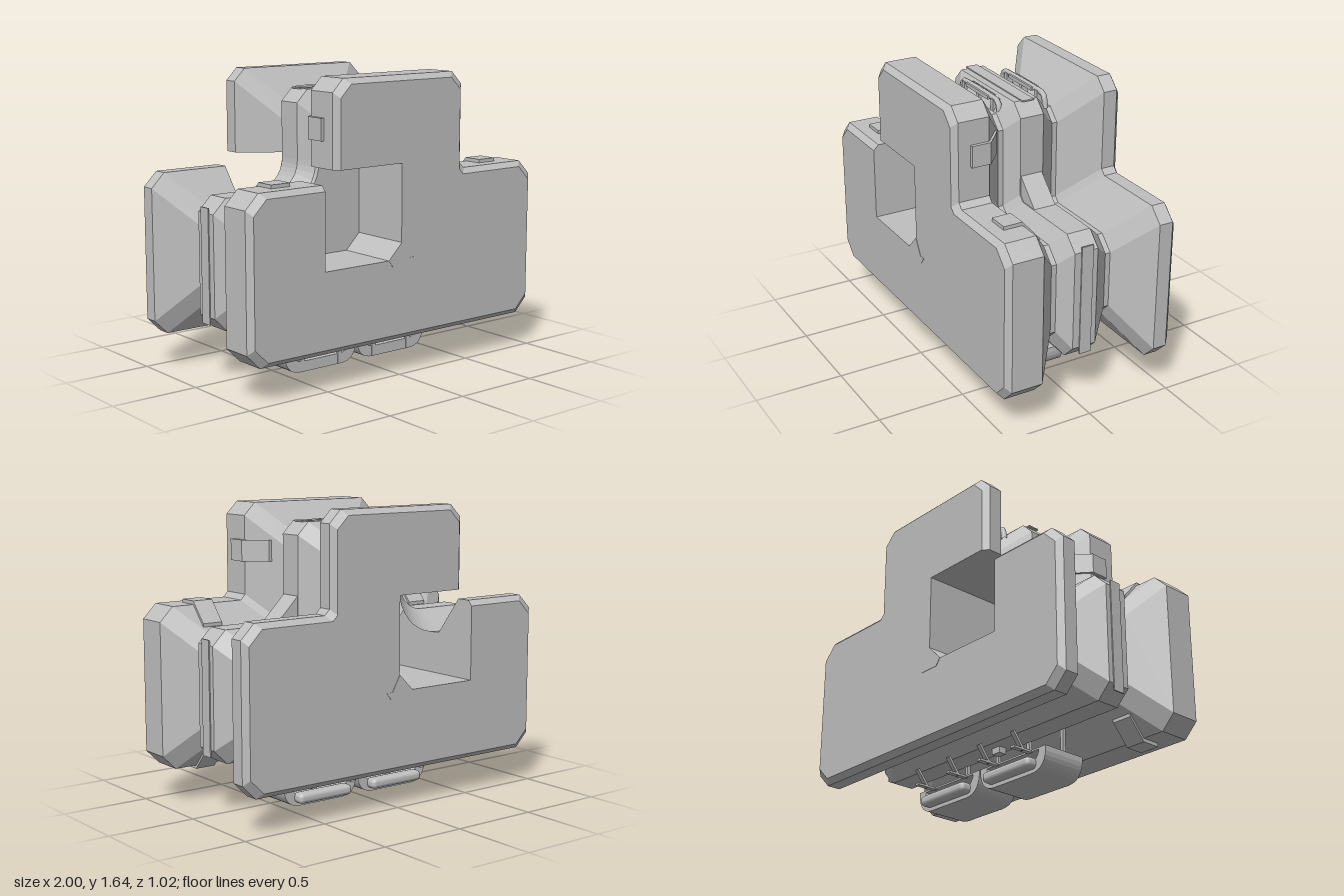
import * as THREE from 'three';
import { RoundedBoxGeometry } from 'three/addons/geometries/RoundedBoxGeometry.js';

const grey = new THREE.MeshStandardMaterial({ color: 0xbfbfbf });
grey.name = 'hull grey';

// Outline seen from the front: x, y and the direction each corner moves when inset
const outline = [
  [-0.92, 0.2, 1, 1], [0.92, 0.2, -1, 1], [1, 0.28, -1, 1], [1, 1.02, -1, -1], [0.92, 1.1, -1, -1],
  [0.48, 1.1, -1, -1], [0.45, 1.13, -1, -1], [0.45, 1.57, -1, -1], [0.38, 1.64, -1, -1],
  [-0.38, 1.64, 1, -1], [-0.45, 1.57, 1, -1], [-0.45, 1.17, 1, 0],
  [0, 1.17, 0, 0], [0, 0.74, 0, 0], [-0.09, 0.65, 0, 0], [-0.52, 0.65, 0, 0],
  [-0.52, 1.1, 0, -1], [-0.92, 1.1, 1, -1], [-1, 1.02, 1, -1], [-1, 0.28, 1, 1],
];
// Depth profile: z and inset
const profile = [
  [0.51, 0.03], [0.48, 0], [0.3, 0], [0.15, 0.17], [0.12, 0.17], [0.06, 0.09],
  [-0.08, 0.09], [-0.21, 0.21], [-0.24, 0.21], [-0.4, 0], [-0.48, 0], [-0.51, 0.03],
];
const inset = (d) => outline.map(([x, y, dx, dy]) => new THREE.Vector2(x + dx * d, y + dy * d));
const arc = (d, n = 10) => Array.from({ length: n + 1 }, (_, i) => {
  const a = (-i / n) * Math.PI / 2;
  return new THREE.Vector2(-0.52 + (d + 0.07) * Math.cos(a), 1.17 + (d + 0.07) * Math.sin(a));
});

// Skin between cross-sections, listed front to back, with hard edges
function loft(rows, section, closed) {
  const pos = [];
  for (let i = 0; i < rows.length - 1; i++) {
    const [z0, d0] = rows[i], [z1, d1] = rows[i + 1];
    const p = section(d0), q = section(d1), n = p.length;
    for (let j = 0; j < (closed ? n : n - 1); j++) {
      const k = (j + 1) % n;
      const a = [p[j].x, p[j].y, z0], b = [p[k].x, p[k].y, z0];
      const c = [q[j].x, q[j].y, z1], e = [q[k].x, q[k].y, z1];
      pos.push(...a, ...c, ...b, ...b, ...c, ...e);
    }
  }
  const g = new THREE.BufferGeometry();
  g.setAttribute('position', new THREE.Float32BufferAttribute(pos, 3));
  g.computeVertexNormals();
  return g;
}

const polygon = (pts) => new THREE.Shape(pts.map((p) => (p.isVector2 ? p : new THREE.Vector2(p[0], p[1]))));
const extrude = (shape, depth) => new THREE.ExtrudeGeometry(shape, { depth, bevelEnabled: false, curveSegments: 8 });

export function createModel() {
  const root = new THREE.Group();
  const add = (name, geo, x = 0, y = 0, z = 0, parent = root) => {
    const m = new THREE.Mesh(geo, grey);
    m.name = name;
    m.position.set(x, y, z);
    parent.add(m);
    return m;
  };
  const box = (name, w, h, d, x, y, z, parent) => add(name, new THREE.BoxGeometry(w, h, d), x, y, z, parent);

  // Hull: two outer slabs and a central ridge joined by valleys
  add('hullSides', loft(profile, inset, true));
  const cap = new THREE.ShapeGeometry(polygon(inset(0.03)));
  add('frontFace', cap, 0, 0, 0.51);
  const backCap = cap.clone();
  backCap.index.array.reverse();
  backCap.computeVertexNormals();
  add('backFace', backCap, 0, 0, -0.51);

  // Open bay: curved elbow of the ridge and the inner wall
  add('bayElbow', loft(profile.slice(3, 9), arc, false));
  add('bayWall', new THREE.ShapeGeometry(polygon([...arc(0.17).reverse(),
    [0, 1.17], [0, 0.74], [-0.09, 0.65], [-0.52, 0.65]])), 0, 0, 0.15);
  const flag = polygon([[-0.09, 0.65], [-0.06, 0.61], [0.06, 0.61], [0.09, 0.65], [0.05, 0.65], [0, 0.74]]);
  add('bayCornerPlateFront', extrude(flag, 0.004), 0, 0, 0.508);
  add('bayCornerPlateBack', extrude(flag, 0.004), 0, 0, -0.512);

  // Diagonal brace in the other elbow of the ridge
  add('elbowBrace', extrude(polygon([[0.34, 0.99], [0.5, 1.01], [0.36, 1.15]]), 0.13), 0, 0, -0.075);

  // Clips folded over the front slab's edge; local y points outward
  const clipShape = polygon([[-0.41, 0], [-0.41, 0.02], [-0.3, 0.02], [-0.2, -0.094], [-0.2, -0.113], [-0.3, 0]]);
  const clipGeo = extrude(clipShape, 0.12);
  clipGeo.translate(0, 0, -0.06);
  clipGeo.rotateY(Math.PI / 2);
  const clip = (x, y, turn) => { add('edgeClip', clipGeo, x, y, 0).rotation.z = turn; };
  for (const s of [-1, 1]) {
    clip(0.73 * s, 1.1, 0);
    clip(0.73 * s, 0.2, Math.PI);
    clip(0.45 * s, 1.375, -s * Math.PI / 2);
    // Long inlay on each end of the ridge
    box('ridgeEndInlay', 0.008, 0.63, 0.07, 0.912 * s, 0.645, -0.015);
  }
  box('ridgeTopInlay', 0.62, 0.008, 0.07, 0, 1.552, -0.015);
  box('ridgeFoot', 0.06, 0.04, 0.05, 0, 0.275, 0);

  // Rails and brackets beside the top of the ridge
  for (const [z, len] of [[0.1, 0.21], [-0.17, 0.23]]) {
    const path = new THREE.CatmullRomCurve3([
      new THREE.Vector3(-len, 1.45, z), new THREE.Vector3(-len + 0.03, 1.53, z),
      new THREE.Vector3(len - 0.03, 1.53, z), new THREE.Vector3(len, 1.45, z),
    ], false, 'catmullrom', 0.2);
    add('topRail', new THREE.TubeGeometry(path, 24, 0.016, 8));
    for (const x of [-0.16, 0, 0.16]) box('railBracket', 0.03, 0.11, 0.04, x, 1.48, z);
    box('railPlate', 0.24, 0.02, 0.05, 0, 1.53, z);
  }

  // Two landing trays with hollow rounded frames, liners and struts
  for (const s of [-1, 1]) {
    const tray = new THREE.Group();
    tray.name = 'landingTray';
    tray.position.x = 0.255 * s;
    root.add(tray);
    const frame = new THREE.Shape();
    frame.moveTo(-0.25, 0.13).lineTo(-0.25, 0.1).quadraticCurveTo(-0.24, 0, -0.14, 0);
    frame.lineTo(0.14, 0).quadraticCurveTo(0.24, 0, 0.25, 0.1).lineTo(0.25, 0.13);
    const hole = new THREE.Path();
    hole.moveTo(-0.2, 0.12).lineTo(0.2, 0.12).quadraticCurveTo(0.19, 0.06, 0.13, 0.06);
    hole.lineTo(-0.13, 0.06).quadraticCurveTo(-0.19, 0.06, -0.2, 0.12);
    frame.holes.push(hole);
    add('trayFrame', extrude(frame, 0.27), 0, 0, -0.14, tray);
    add('trayBackLip', new RoundedBoxGeometry(0.36, 0.06, 0.08, 2, 0.025), 0, 0.05, -0.16, tray);
    for (const x of [-0.13, 0.13]) {
      box('trayRib', 0.025, 0.13, 0.015, x, 0.066, 0.126, tray);
      box('trayTab', 0.03, 0.012, 0.13, x, 0.123, -0.195, tray);
      const strut = box('trayStrut', 0.025, 0.115, 0.015, x, 0.165, -0.225, tray);
      strut.rotation.x = -0.66;
      box('trayHanger', 0.02, 0.26, 0.02, x, 0.25, 0.11, tray);
    }
  }
  return root;
}
